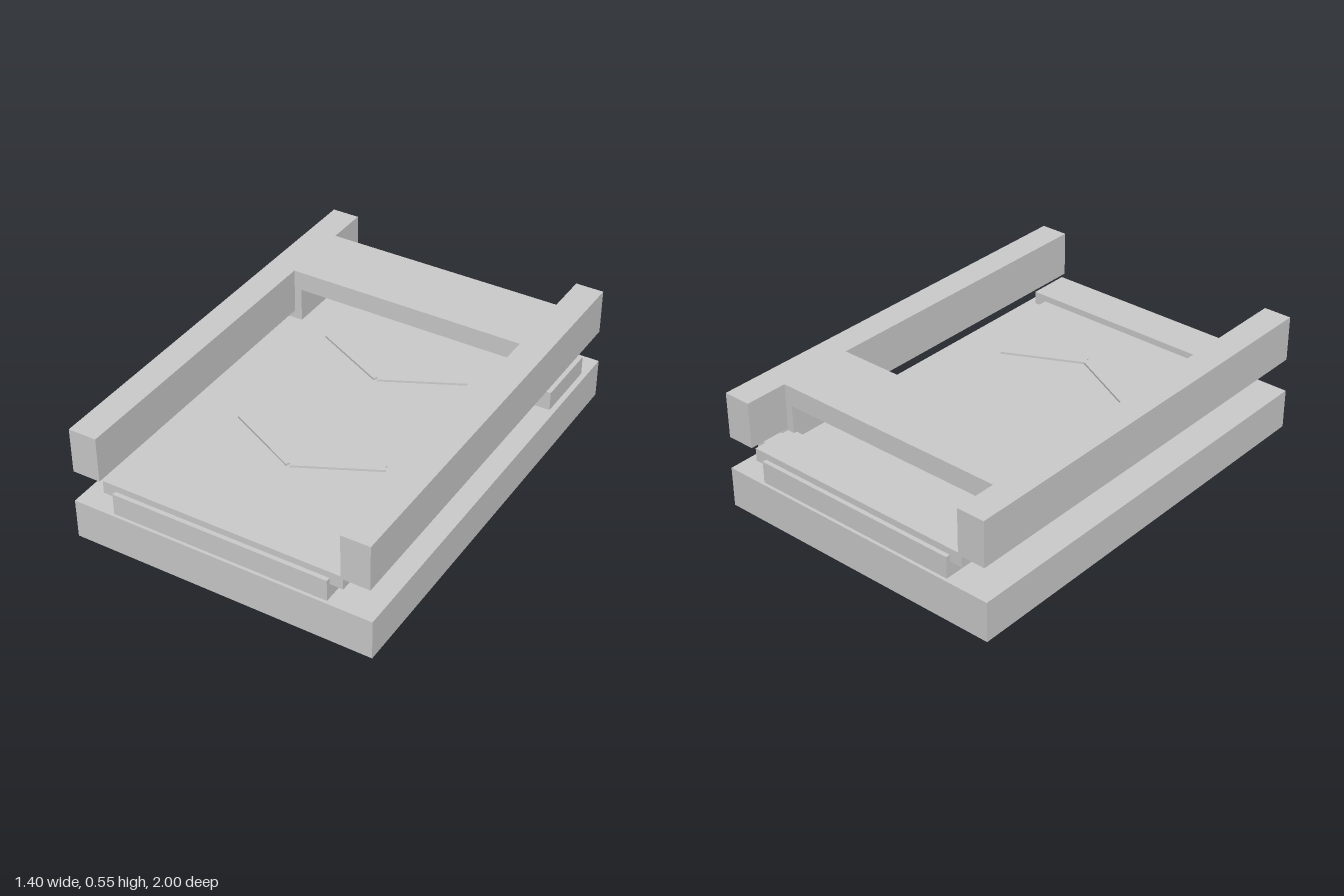
import * as THREE from 'three';

export function createModel() {
  const model = new THREE.Group();
  const material = new THREE.MeshStandardMaterial({ color: 0xcccccc, flatShading: true });

  function add(name, geometry) {
    const mesh = new THREE.Mesh(geometry, material);
    mesh.name = name;
    model.add(mesh);
    return mesh;
  }

  // Box given by its extents along each axis
  function box(name, [x0, x1], [y0, y1], [z0, z1]) {
    const mesh = add(name, new THREE.BoxGeometry(x1 - x0, y1 - y0, z1 - z0));
    mesh.position.set((x0 + x1) / 2, (y0 + y1) / 2, (z0 + z1) / 2);
    return mesh;
  }

  box('base', [-0.7, 0.7], [0, 0.185], [-1, 1]);
  box('beltDeck', [-0.5, 0.5], [0.2, 0.3], [-1, 1]);
  box('motorHousing', [0.475, 0.675], [0.185, 0.275], [-0.87, -0.55]);

  // Side rails
  box('leftRail', [0.56, 0.69], [0.34, 0.55], [-1, 1]);
  box('rightRail', [-0.69, -0.56], [0.34, 0.55], [-1, 1]);

  // Portal bridging the rails, with feet reaching below them
  const half = [[0.56, 0.55], [0.56, 0.34], [0.65, 0.34], [0.65, 0.3], [0.525, 0.3], [0.525, 0.46]];
  const outline = [...half, ...half.map(([x, y]) => [-x, y]).reverse()];
  const portal = new THREE.ExtrudeGeometry(
    new THREE.Shape(outline.map(([x, y]) => new THREE.Vector2(x, y))),
    { depth: 0.35, bevelEnabled: false });
  add('crossBridge', portal).position.z = -0.8;

  // End covers with a roller beneath each
  for (const [end, s] of [['front', 1], ['back', -1]]) {
    const cover = box(end + 'Cover', [-0.56, 0.56], [0.27, 0.33], [0.785, 0.98]);
    cover.position.z *= s;
    const roller = add(end + 'Roller', new THREE.CylinderGeometry(0.075, 0.075, 0.95, 24).rotateZ(Math.PI / 2));
    roller.position.set(0, 0.245, s * 0.92);
  }

  // Chevron markings, two slanted bars each
  for (const z of [-0.315, 0.385]) {
    for (const s of [1, -1]) {
      const bar = add('chevronBar', new THREE.BoxGeometry(0.39, 0.01, 0.04));
      bar.position.set(s * 0.175, 0.305, z);
      bar.rotation.y = s * 0.46;
    }
  }

  return model;
}
